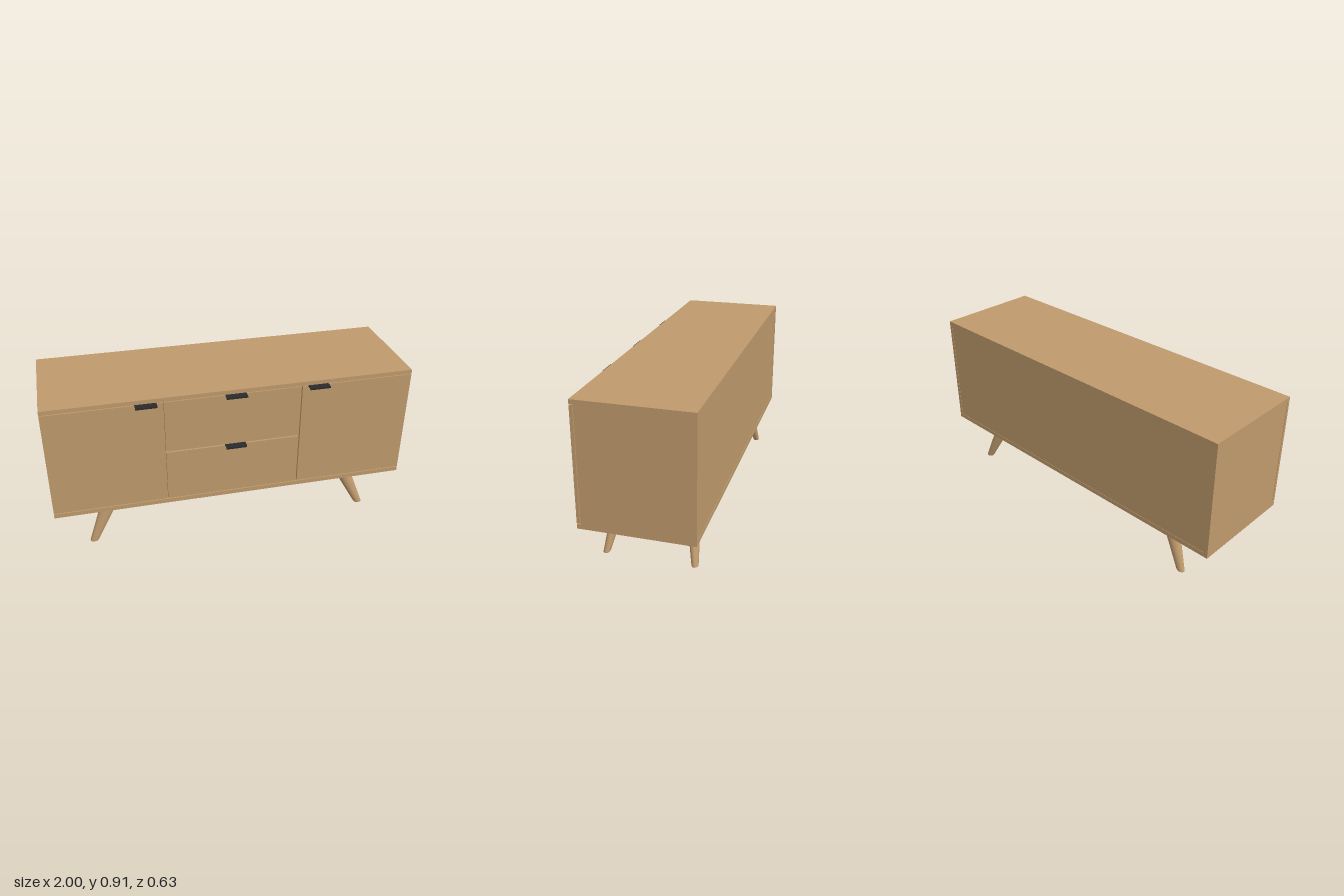
import * as THREE from 'three';

const wood = new THREE.MeshStandardMaterial({ color: 0xbe996c });
wood.name = 'wood';
const metal = new THREE.MeshStandardMaterial({ color: 0x2b2a2a });
metal.name = 'blackMetal';

const MID_Z = -0.017; // cabinet centre, shifted back by the handles

// Box given by its limits on each axis
function box(parent, name, mat, [x0, x1], [y0, y1], [z0, z1]) {
  const mesh = new THREE.Mesh(new THREE.BoxGeometry(x1 - x0, y1 - y0, z1 - z0), mat);
  mesh.position.set((x0 + x1) / 2, (y0 + y1) / 2, (z0 + z1) / 2);
  mesh.name = name;
  parent.add(mesh);
  return mesh;
}

const points = (list) => list.map(([r, y]) => new THREE.Vector2(r, y));

// Tapered oval leg, sheared outwards towards the foot
function makeLeg(sx, sz) {
  const geo = new THREE.LatheGeometry(points([
    [0, 0], [0.0165, 0], [0.0165, 0], [0.018, 0.006], [0.033, 0.2], [0.033, 0.222], [0.027, 0.238], [0, 0.24],
  ]), 24);
  const p = geo.attributes.position;
  for (let i = 0; i < p.count; i++) {
    const t = p.getY(i) / 0.21;
    p.setX(i, p.getX(i) * 1.35 + sx * (0.802 - 0.1 * t));
    p.setZ(i, p.getZ(i) + sz * (0.2365 - 0.034 * t) + MID_Z);
  }
  geo.computeVertexNormals();
  const leg = new THREE.Mesh(geo, wood);
  leg.name = (sz > 0 ? 'front' : 'back') + (sx > 0 ? 'Left' : 'Right') + 'Leg';
  return leg;
}

// Half-round rail under the cabinet with pointed ends
function makeRail(sz) {
  const geo = new THREE.LatheGeometry(points([
    [0, -0.92], [0.006, -0.92], [0.02, -0.835], [0.031, -0.76], [0.034, -0.72],
    [0.034, 0.72], [0.031, 0.76], [0.02, 0.835], [0.006, 0.92], [0, 0.92],
  ]), 16, Math.PI, Math.PI);
  geo.rotateZ(Math.PI / 2);
  geo.scale(1, 1.08, 1);
  geo.translate(0, 0.2405, MID_Z + sz * 0.202);
  const rail = new THREE.Mesh(geo, wood);
  rail.name = sz > 0 ? 'frontRail' : 'backRail';
  return rail;
}

// Folded metal pull with a small front lip
function makeHandle(name, x, y) {
  const handle = new THREE.Group();
  handle.name = name;
  const w = [x - 0.057, x + 0.057];
  box(handle, 'handlePlate', metal, w, [y - 0.002, y + 0.002], [0.262, 0.317]);
  box(handle, 'handleLip', metal, w, [y - 0.007, y + 0.001], [0.312, 0.318]);
  return handle;
}

export function createModel() {
  const model = new THREE.Group();
  model.name = 'sideboard';

  // Carcass
  box(model, 'topPanel', wood, [-1, 1], [0.885, 0.908], [-0.317, 0.283]);
  box(model, 'bottomPanel', wood, [-1, 1], [0.24, 0.265], [-0.317, 0.283]);
  box(model, 'leftSide', wood, [0.98, 1], [0.265, 0.885], [-0.317, 0.262]);
  box(model, 'rightSide', wood, [-1, -0.98], [0.265, 0.885], [-0.317, 0.262]);
  box(model, 'backPanel', wood, [-0.98, 0.98], [0.265, 0.885], [-0.315, -0.297]);
  for (const x of [-0.376, 0.372]) {
    box(model, 'divider', wood, [x - 0.01, x + 0.01], [0.265, 0.885], [-0.297, 0.262]);
  }

  // Doors and drawers, separated by narrow gaps
  const front = [0.266, 0.283];
  box(model, 'rightDoor', wood, [-1, -0.379], [0.27, 0.881], front);
  box(model, 'leftDoor', wood, [0.375, 1], [0.27, 0.881], front);
  box(model, 'lowerDrawer', wood, [-0.373, 0.369], [0.27, 0.571], front);
  box(model, 'upperDrawer', wood, [-0.373, 0.369], [0.579, 0.881], front);

  // Handles
  model.add(
    makeHandle('rightDoorHandle', -0.467, 0.88),
    makeHandle('leftDoorHandle', 0.463, 0.88),
    makeHandle('upperDrawerHandle', 0.008, 0.88),
    makeHandle('lowerDrawerHandle', 0.008, 0.573),
  );

  // Base: rails, cross bars and splayed legs
  for (const s of [-1, 1]) {
    model.add(makeRail(s), makeLeg(-1, s), makeLeg(1, s));
    box(model, 'crossBar', wood, [s * 0.7 - 0.015, s * 0.7 + 0.015], [0.213, 0.24], [MID_Z - 0.19, MID_Z + 0.19]);
  }
  return model;
}
